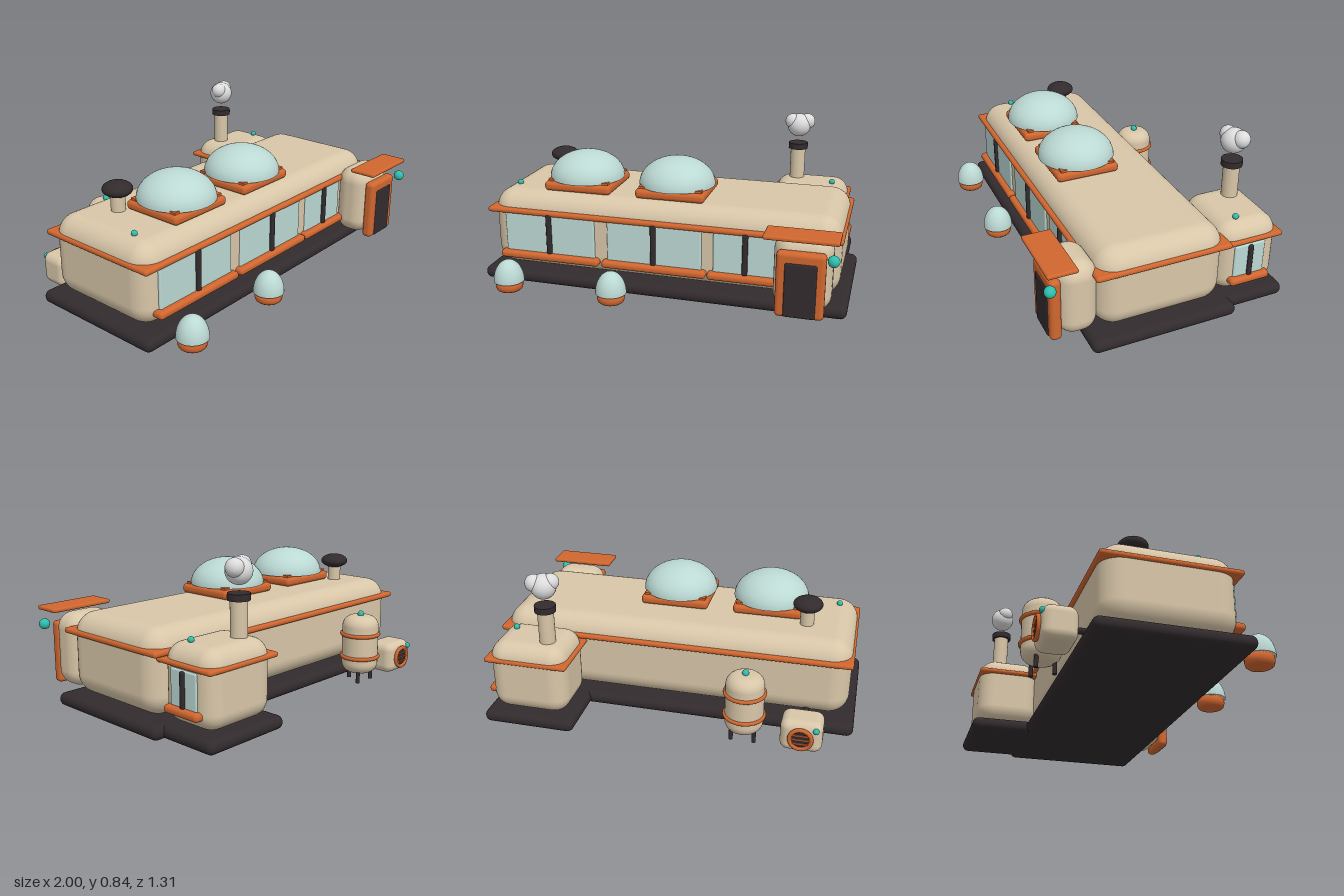
import * as THREE from 'three';
import { RoundedBoxGeometry } from 'three/addons/geometries/RoundedBoxGeometry.js';

const mat = (name, color) => {
  const m = new THREE.MeshStandardMaterial({ color });
  m.name = name;
  return m;
};

export function createModel() {
  const root = new THREE.Group();
  root.name = 'habitat';
  const shell = mat('sand shell', 0xd8c6a8);
  const orange = mat('orange trim', 0xd0662f);
  const dark = mat('dark rubber', 0x322b2e);
  const glass = mat('pale glass', 0xbcd9d4);
  const teal = mat('teal lamp', 0x2fbfae);
  const white = mat('white steam', 0xdcdcdc);

  const add = (name, geo, material, x = 0, y = 0, z = 0, parent = root) => {
    const m = new THREE.Mesh(geo, material);
    m.name = name;
    m.position.set(x, y, z);
    parent.add(m);
    return m;
  };
  // Rounded box given by its [min, max] on each axis
  const block = (name, material, [x0, x1], [y0, y1], [z0, z1], r, parent) =>
    add(name, new RoundedBoxGeometry(x1 - x0, y1 - y0, z1 - z0, 5, r), material,
      (x0 + x1) / 2, (y0 + y1) / 2, (z0 + z1) / 2, parent);
  const ball = (name, material, r, x, y, z, parent) =>
    add(name, new THREE.SphereGeometry(r, 28, 18), material, x, y, z, parent);
  const tube = (name, material, r, y0, y1, x, z, parent) =>
    add(name, new THREE.CylinderGeometry(r, r, y1 - y0, 28), material, x, (y0 + y1) / 2, z, parent);
  const group = (name, x = 0, y = 0, z = 0) => {
    const g = new THREE.Group();
    g.name = name;
    g.position.set(x, y, z);
    root.add(g);
    return g;
  };
  // Half ellipsoid closed by a disc underneath
  const dome = (name, r, h, x, y, z, parent) => {
    const pts = [new THREE.Vector2(0, 0)];
    for (let i = 0; i <= 16; i++) {
      const a = (i / 16) * Math.PI / 2;
      pts.push(new THREE.Vector2(i === 16 ? 0 : r * Math.cos(a), h * Math.sin(a)));
    }
    const floor = new THREE.CircleGeometry(r, 36).rotateX(Math.PI / 2);
    add(name, new THREE.LatheGeometry(pts.slice(1), 36), glass, x, y, z, parent);
    add(name + 'Floor', floor, glass, x, y, z, parent);
  };

  // Foundations
  block('foundation', dark, [-1, 1], [0, 0.07], [-0.34, 0.44], 0.034);
  block('annexFoundation', dark, [0.445, 0.945], [0, 0.07], [-0.65, -0.25], 0.034);

  // Main hall and annex with their trim bands
  block('mainHall', shell, [-0.96, 0.95], [0.072, 0.506], [-0.29, 0.388], 0.11);
  block('mainTrim', orange, [-0.97, 0.962], [0.388, 0.418], [-0.308, 0.41], 0.014);
  block('annex', shell, [0.485, 0.908], [0.072, 0.463], [-0.618, -0.277], 0.09);
  block('annexTrim', orange, [0.468, 0.922], [0.36, 0.387], [-0.626, -0.263], 0.013);

  // Front windows, each with centre post and sill
  for (const [x, w] of [[-0.612, 0.52], [-0.02, 0.52], [0.472, 0.34]]) {
    const g = group('frontWindow', x);
    block('pane', glass, [-w / 2, w / 2], [0.165, 0.392], [0.35, 0.398], 0.01, g);
    block('post', dark, [-0.014, 0.014], [0.175, 0.4], [0.38, 0.415], 0.008, g);
    block('sill', orange, [-w / 2 - 0.027, w / 2 + 0.027], [0.135, 0.176], [0.36, 0.43], 0.018, g);
  }

  // Annex side window
  block('annexPane', glass, [0.87, 0.916], [0.17, 0.355], [-0.53, -0.355], 0.01);
  block('annexPost', dark, [0.89, 0.93], [0.172, 0.35], [-0.456, -0.43], 0.008);
  block('annexSill', orange, [0.88, 0.944], [0.135, 0.176], [-0.556, -0.33], 0.018);

  // Entrance
  block('vestibule', shell, [0.635, 0.925], [0.075, 0.472], [0.37, 0.572], 0.085);
  block('doorFrame', orange, [0.66, 0.9], [0.07, 0.41], [0.558, 0.616], 0.022);
  block('door', dark, [0.702, 0.862], [0.075, 0.36], [0.59, 0.621], 0.012);
  block('awning', orange, [0.597, 0.96], [0.475, 0.498], [0.495, 0.647], 0.01);
  ball('doorLamp', teal, 0.029, 0.935, 0.395, 0.628);

  // Roof skylights
  for (const x of [-0.48, 0.04]) {
    const g = group('skylight', x, 0, 0.138);
    block('frame', orange, [-0.19, 0.19], [0.506, 0.558], [-0.174, 0.176], 0.022, g);
    dome('skylightDome', 0.207, 0.146, 0, 0.56, 0, g);
    for (const sx of [-1, 1]) for (const sz of [-1, 1])
      add('clip', new THREE.BoxGeometry(0.045, 0.018, 0.035), orange, sx * 0.15, 0.56, sz * 0.135, g);
  }

  // Roof vent
  tube('ventPipe', shell, 0.038, 0.48, 0.6, -0.7, -0.058);
  ball('ventCap', dark, 0.079, -0.7, 0.621, -0.058).scale.y = 0.52;

  // Chimney and steam
  tube('chimney', shell, 0.043, 0.43, 0.65, 0.605, -0.496);
  block('chimneyCollar', dark, [0.562, 0.648], [0.64, 0.67], [-0.539, -0.453], 0.01).visible = true;
  tube('chimneyCap', dark, 0.056, 0.638, 0.672, 0.605, -0.496);
  ball('steam', white, 0.067, 0.605, 0.776, -0.496);
  ball('steam', white, 0.046, 0.649, 0.797, -0.512);
  ball('steam', white, 0.044, 0.569, 0.8, -0.484);

  // Roof lamps
  ball('roofLamp', teal, 0.016, -0.855, 0.514, 0.22);
  ball('annexLamp', teal, 0.016, 0.822, 0.472, -0.4);

  // Garden pods
  for (const x of [-0.8, -0.212]) {
    const g = group('gardenPod', x, 0, 0.533);
    const base = [[0, 0], [0.06, 0], [0.069, 0.008], [0.074, 0.025], [0.072, 0.052], [0, 0.052]];
    add('podBase', new THREE.LatheGeometry(base.map(p => new THREE.Vector2(...p)), 28), orange, 0, 0, 0, g);
    dome('podDome', 0.082, 0.118, 0, 0.052, 0, g);
  }

  // Storage tank on three legs
  const tank = group('storageTank', -0.44, 0, -0.45);
  const body = [new THREE.Vector2(0, 0.05)];
  for (const [cy, a0] of [[0.11, -Math.PI / 2], [0.32, 0]])
    for (let i = 0; i <= 6; i++) {
      const a = a0 + (i / 6) * Math.PI / 2;
      body.push(new THREE.Vector2(0.042 + 0.06 * Math.cos(a), cy + 0.06 * Math.sin(a)));
    }
  body.push(new THREE.Vector2(0, 0.38));
  add('tankBody', new THREE.LatheGeometry(body, 32), shell, 0, 0, 0, tank);
  for (const y of [0.145, 0.275])
    add('tankBand', new THREE.TorusGeometry(0.103, 0.011, 10, 36).rotateX(Math.PI / 2), orange, 0, y, 0, tank);
  for (let i = 0; i < 3; i++) {
    const a = i * Math.PI * 2 / 3;
    tube('tankLeg', dark, 0.011, 0, 0.09, 0.07 * Math.sin(a), 0.07 * Math.cos(a), tank);
  }
  ball('tankLamp', teal, 0.018, 0, 0.388, 0, tank);

  // Air unit with fan and connecting pipe
  const unit = group('airUnit', -0.744, 0.088, -0.445);
  block('unitBody', shell, [-0.109, 0.109], [-0.088, 0.088], [-0.085, 0.085], 0.045, unit);
  add('fanRing', new THREE.TorusGeometry(0.056, 0.011, 10, 32), orange, 0, 0, -0.092, unit);
  add('fanDisc', new THREE.CylinderGeometry(0.056, 0.056, 0.012, 28).rotateX(Math.PI / 2), dark, 0, 0, -0.086, unit);
  for (const y of [-0.024, 0, 0.024])
    add('fanBar', new THREE.BoxGeometry(0.095, 0.006, 0.006), orange, 0, y, -0.094, unit);
  add('unitPipe', new THREE.CylinderGeometry(0.016, 0.016, 0.14, 16).rotateX(Math.PI / 2), dark, 0, 0.01, 0.13, unit);
  ball('unitLamp', teal, 0.016, -0.076, 0.054, -0.082, unit);

  return root;
}
